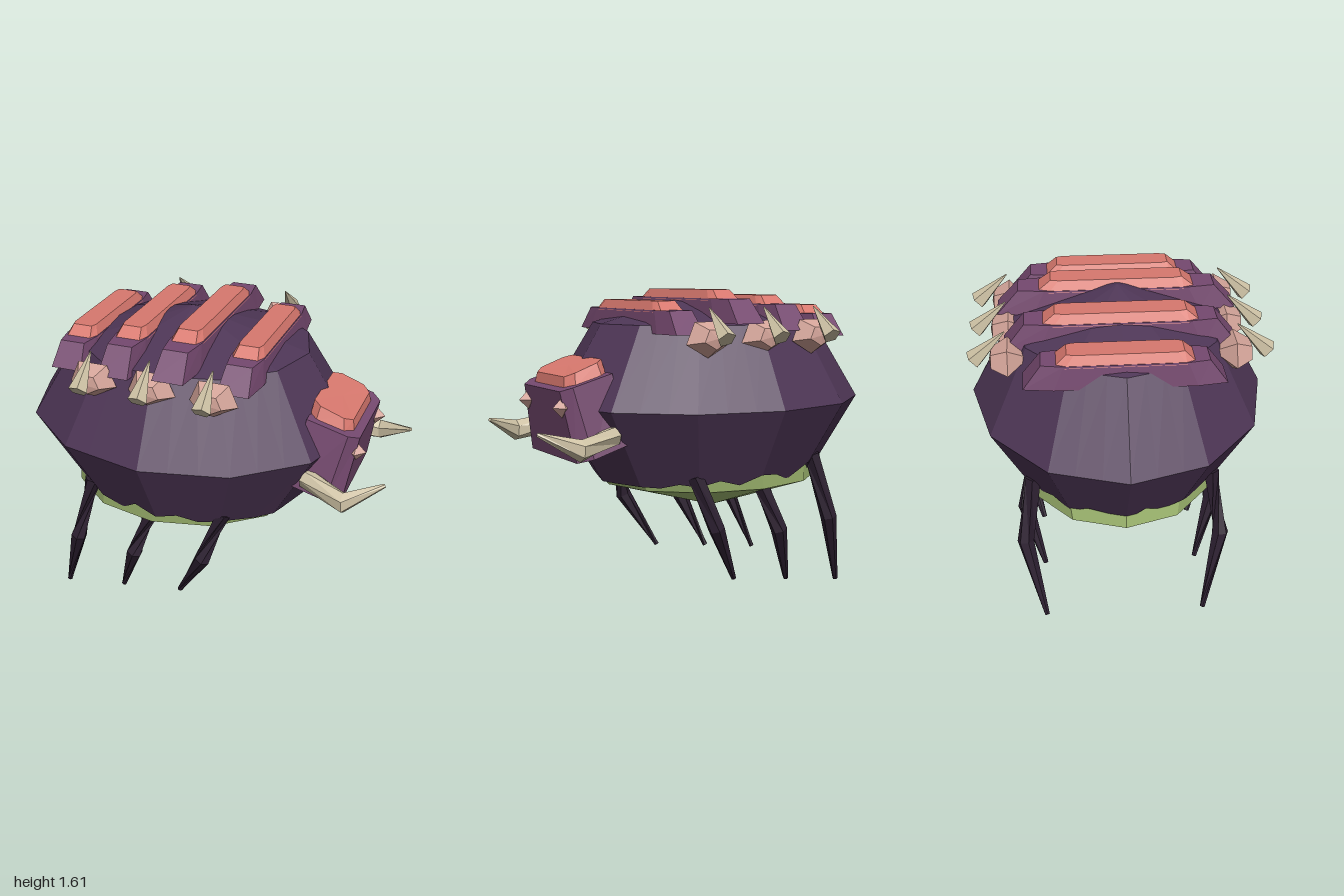
import * as THREE from 'three';

const mat = (name, color) => {
  const m = new THREE.MeshStandardMaterial({ color, flatShading: true });
  m.name = name;
  return m;
};

// Closed solid through rings of [x, y, z] points; a ring of one point is an apex
function loft(rings) {
  const tris = [];
  const mean = r => [0, 1, 2].map(k => r.reduce((s, p) => s + p[k], 0) / r.length);
  const all = [[mean(rings[0])], ...rings, [mean(rings[rings.length - 1])]];
  for (let k = 0; k < all.length - 1; k++) {
    const a = all[k], b = all[k + 1], n = Math.max(a.length, b.length);
    if (n === 1) continue;
    for (let i = 0; i < n; i++) {
      const j = (i + 1) % n;
      if (a.length > 1) tris.push([a[i], a[j], b[i % b.length]]);
      if (b.length > 1) tris.push([a[j % a.length], b[j], b[i]]);
    }
  }
  // Turn faces outward using the signed volume
  const V = p => new THREE.Vector3(...p);
  let volume = 0;
  for (const [p, q, r] of tris) volume += V(p).dot(V(q).cross(V(r)));
  if (volume < 0) tris.forEach(t => t.reverse());
  const g = new THREE.BufferGeometry();
  g.setAttribute('position', new THREE.Float32BufferAttribute(tris.flat(2), 3));
  g.computeVertexNormals();
  return g;
}

// Tapered limb along points [x, y, z, radius]
function limb(path, sides) {
  const P = path.map(p => new THREE.Vector3(p[0], p[1], p[2]));
  const up = new THREE.Vector3(0, 1, 0);
  return loft(P.map((c, i) => {
    const dir = P[Math.min(i + 1, P.length - 1)].clone().sub(P[Math.max(i - 1, 0)]).normalize();
    const q = new THREE.Quaternion().setFromUnitVectors(up, dir);
    return Array.from({ length: sides }, (_, k) => {
      const a = k / sides * Math.PI * 2;
      return new THREE.Vector3(Math.cos(a), 0, Math.sin(a)).multiplyScalar(path[i][3])
        .applyQuaternion(q).add(c).toArray();
    });
  }));
}

// Long octagon in plan, narrowed at its two ends
const plate = (cx, y, w, endW, len, shoulder) => [
  [w, shoulder], [endW, len], [-endW, len], [-w, shoulder],
  [-w, -shoulder], [-endW, -len], [endW, -len], [w, -shoulder],
].map(([x, z]) => [cx + x, y, z]);

// Ring mirrored over z = 0 from its +z half
const mirrored = half => [...half, ...half.map(([x, y, z]) => [x, y, -z]).reverse()];

// Point on a twelve-sided oval, each side split in three
function ovalPoint(i, cx, rx, rz, y) {
  const a = Math.floor(i / 3) * Math.PI / 6, b = a + Math.PI / 6, t = (i % 3) / 3;
  const mix = (p, q) => p + (q - p) * t;
  return [cx + rx * mix(Math.cos(a), Math.cos(b)), y, rz * mix(Math.sin(a), Math.sin(b))];
}
const oval = (cx, rx, rz, y) => Array.from({ length: 36 }, (_, i) => ovalPoint(i, cx, rx, rz, y));

export function createModel() {
  const model = new THREE.Group();
  model.name = 'beetleCreature';
  const shell = mat('darkPurple', 0x4e3656);
  const plum = mat('plum', 0x75496f);
  const salmon = mat('salmon', 0xd8786e);
  const bone = mat('bone', 0xcdc1a4);
  const pink = mat('dustyPink', 0xd4a499);
  const green = mat('green', 0xa8c276);
  const dark = mat('nearBlack', 0x2c1f30);
  const add = (name, geometry, material) => {
    const m = new THREE.Mesh(geometry, material);
    m.name = name;
    model.add(m);
    return m;
  };

  // Shell with a ragged lower edge, raggeder toward the tail
  const jag = [0.2, 0.9, 0.4, 1, 0.1, 0.6, 0.85];
  const hem = Array.from({ length: 36 }, (_, i) => {
    const back = (1 - Math.cos(i / 18 * Math.PI)) / 2;
    const y = 0.62 + 0.09 * Math.min(1, back * 1.6) * jag[i % 7];
    const t = (y - 0.62) / 0.41;
    return ovalPoint(i, -0.12, 0.625 + 0.255 * t, 0.53 + 0.218 * t, y);
  });
  add('shell', loft([[[-0.12, 0.9, 0]], hem, oval(-0.12, 0.88, 0.748, 1.03),
    oval(-0.12, 0.625, 0.53, 1.44), [[-0.12, 1.61, 0]]]), shell);

  // Belly
  add('belly', loft([[[-0.17, 0.42, 0]], oval(-0.155, 0.625, 0.525, 0.6),
    oval(-0.12, 0.655, 0.55, 0.72)]), green);

  // Back ridges: [x, bottom, top of base, half length, half length of cap]
  for (const [x, y0, y1, len, cap] of [
    [-0.62, 1.37, 1.485, 0.475, 0.33], [-0.32, 1.41, 1.54, 0.565, 0.385],
    [-0.015, 1.45, 1.57, 0.6, 0.4], [0.285, 1.4, 1.515, 0.525, 0.355],
  ]) {
    add('ridge', loft([plate(x, y0, 0.1, 0.08, len, len * 0.7),
      plate(x, y1, 0.083, 0.065, len * 0.82, len * 0.6)]), plum);
    add('ridgeCap', loft([plate(x, y1 - 0.01, 0.085, 0.065, cap, cap * 0.85),
      plate(x, y1 + 0.045, 0.06, 0.05, cap * 0.82, cap * 0.72)]), salmon);
  }

  // Head and its cap
  add('head', loft([
    mirrored([[0.78, 0.78, 0.275], [0.71, 0.8, 0.325], [0.53, 0.86, 0.34]]),
    mirrored([[0.84, 1.13, 0.22], [0.79, 1.15, 0.265], [0.58, 1.21, 0.27]]),
  ]), plum);
  add('headCap', loft([
    mirrored([[0.8, 1.135, 0.18], [0.76, 1.15, 0.23], [0.62, 1.2, 0.23], [0.58, 1.2, 0.2]]),
    mirrored([[0.79, 1.195, 0.165], [0.75, 1.215, 0.205], [0.63, 1.26, 0.205], [0.59, 1.275, 0.17]]),
  ]), salmon);

  for (const s of [1, -1]) {
    // Eye studs and tusks
    add('eye', new THREE.OctahedronGeometry(0.05), pink).position.set(0.825, 1.05, s * 0.21);
    add('tusk', limb([[0.6, 0.91, s * 0.32, 0.05], [0.82, 0.865, s * 0.41, 0.055],
      [1, 0.945, s * 0.31, 0.01]], 6), bone);

    // Side knobs with flared horns
    const profile = [[0, -0.1], [0.13, 0], [0.07, 0.08], [0, 0.09]];
    for (const x of [-0.43, -0.12, 0.2]) {
      const knob = add('knob', new THREE.LatheGeometry(
        profile.map(p => new THREE.Vector2(...p)), 5), pink);
      knob.position.set(x, 1.385, s * 0.545);
      knob.rotation.x = s * Math.PI / 2;
      if (s < 0) knob.rotation.y = Math.PI;
      knob.scale.z = 0.75;
      add('horn', limb([[x, 1.53, s * 0.555, 0.003], [x, 1.385, s * 0.71, 0.048]], 5), bone);
    }

    // Legs: hip, knee and foot
    for (const [hip, knee, foot] of [
      [[-0.52, 0.74], [-0.6, 0.4], [-0.735, 0.01]],
      [[-0.19, 0.61], [-0.27, 0.37], [-0.39, 0.065]],
      [[0.21, 0.69], [0.12, 0.42], [-0.05, 0.115]],
    ]) {
      add('leg', limb([[...hip, s * 0.45, 0.045], [...knee, s * 0.505, 0.043],
        [...foot, s * 0.41, 0.014]], 6), dark);
    }
  }
  return model;
}
